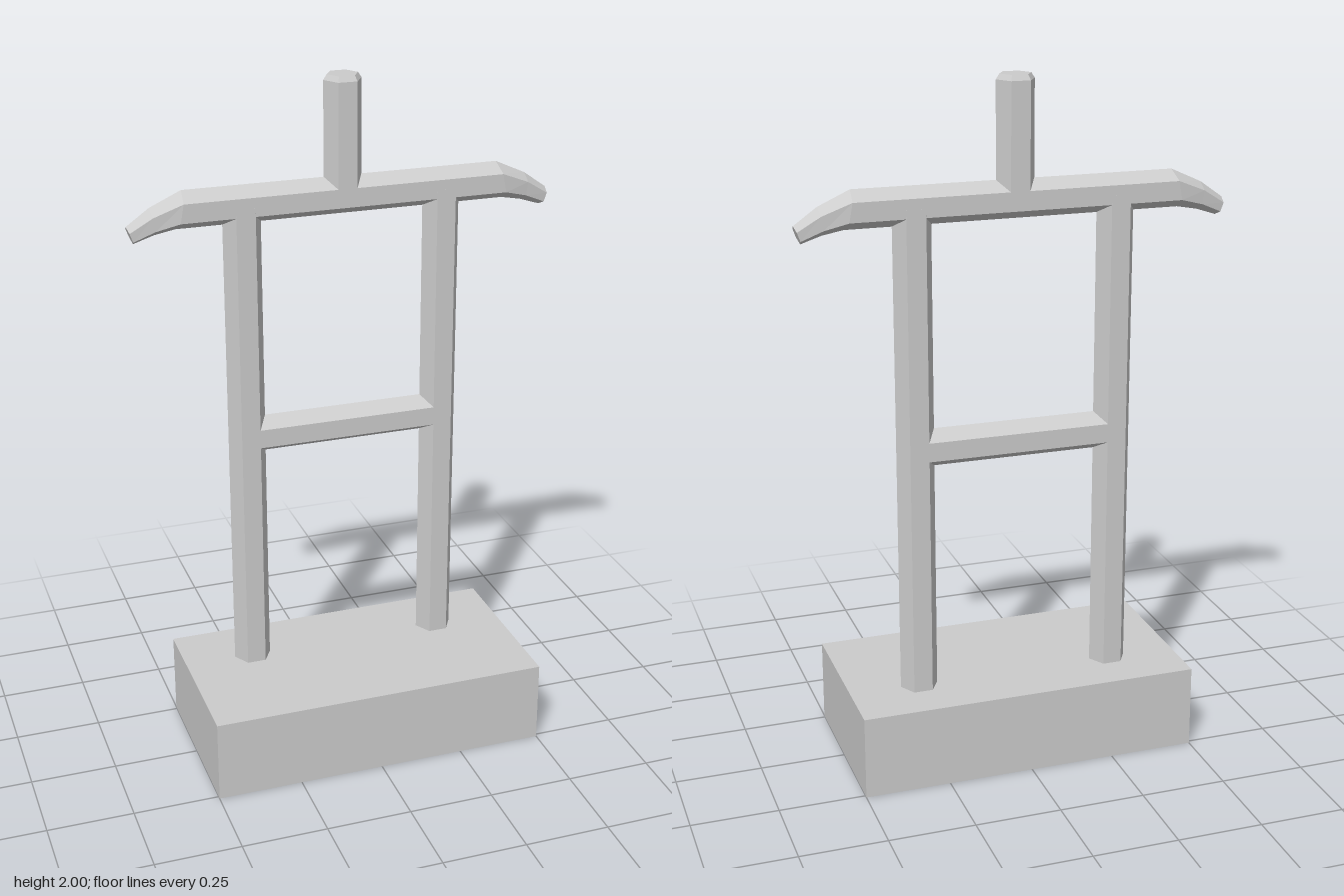
import * as THREE from 'three';

const Z = -0.095; // plane of the frame, set back on the base
const R = 0.055; // hexagon corner radius

const mat = new THREE.MeshStandardMaterial({ color: 0xcccccc, flatShading: true });

function add(group, name, geometry, x, y, z) {
  const mesh = new THREE.Mesh(geometry, mat);
  mesh.name = name;
  mesh.position.set(x, y, z);
  group.add(mesh);
  return mesh;
}

// Upright hexagonal bar with corners towards +x and -x
function hexBar(length, top = R, bottom = R) {
  return new THREE.CylinderGeometry(top, bottom, length, 6).rotateY(Math.PI / 6);
}

// Hexagonal sections, each given by its top and bottom corner and half depth
function loftBar(stations) {
  const corners = [[0, 0], [0.25, 1], [0.75, 1], [1, 0], [0.75, -1], [0.25, -1]];
  const pos = [], idx = [];
  for (const [tx, ty, bx, by, depth] of stations) {
    for (const [t, s] of corners) pos.push(tx + (bx - tx) * t, ty + (by - ty) * t, s * depth);
  }
  const last = (stations.length - 1) * 6;
  for (let i = 0; i < last; i += 6) {
    for (let j = 0; j < 6; j++) {
      const a = i + j, b = i + (j + 1) % 6;
      idx.push(a, b, a + 6, b, b + 6, a + 6);
    }
  }
  for (let j = 1; j < 5; j++) {
    idx.push(0, j + 1, j, last, last + j, last + j + 1);
  }
  const g = new THREE.BufferGeometry();
  g.setAttribute('position', new THREE.Float32BufferAttribute(pos, 3));
  g.setIndex(idx);
  const flat = g.toNonIndexed();
  flat.computeVertexNormals();
  return flat;
}

export function createModel() {
  const group = new THREE.Group();
  group.name = 'valetStand';

  add(group, 'base', new THREE.BoxGeometry(1, 0.245, 0.52), 0, 0.1225, 0);

  // Two posts
  for (const side of [-1, 1]) {
    add(group, side > 0 ? 'leftPost' : 'rightPost', hexBar(1.44), side * 0.293, 0.94, Z);
  }

  // Middle rung, corners up and down
  add(group, 'rung', hexBar(0.56).rotateZ(Math.PI / 2), 0, 0.973, Z);

  // Shoulder bar with drooping, tapered ends
  const end = [
    [0.46, 1.716, 0.48, 1.608, 0.0475],
    [0.55, 1.675, 0.54, 1.597, 0.036],
    [0.616, 1.628, 0.598, 1.578, 0.027],
  ];
  const mirrored = end.map(([tx, ty, bx, by, d]) => [-tx, ty, -bx, by, d]).reverse();
  add(group, 'shoulderBar', loftBar([...mirrored, ...end]), 0, 0, Z);

  // Neck with a bevelled top
  add(group, 'neck', hexBar(0.325), 0, 1.8225, Z);
  add(group, 'neckCap', hexBar(0.015, 0.045, R), 0, 1.9925, Z);

  return group;
}
